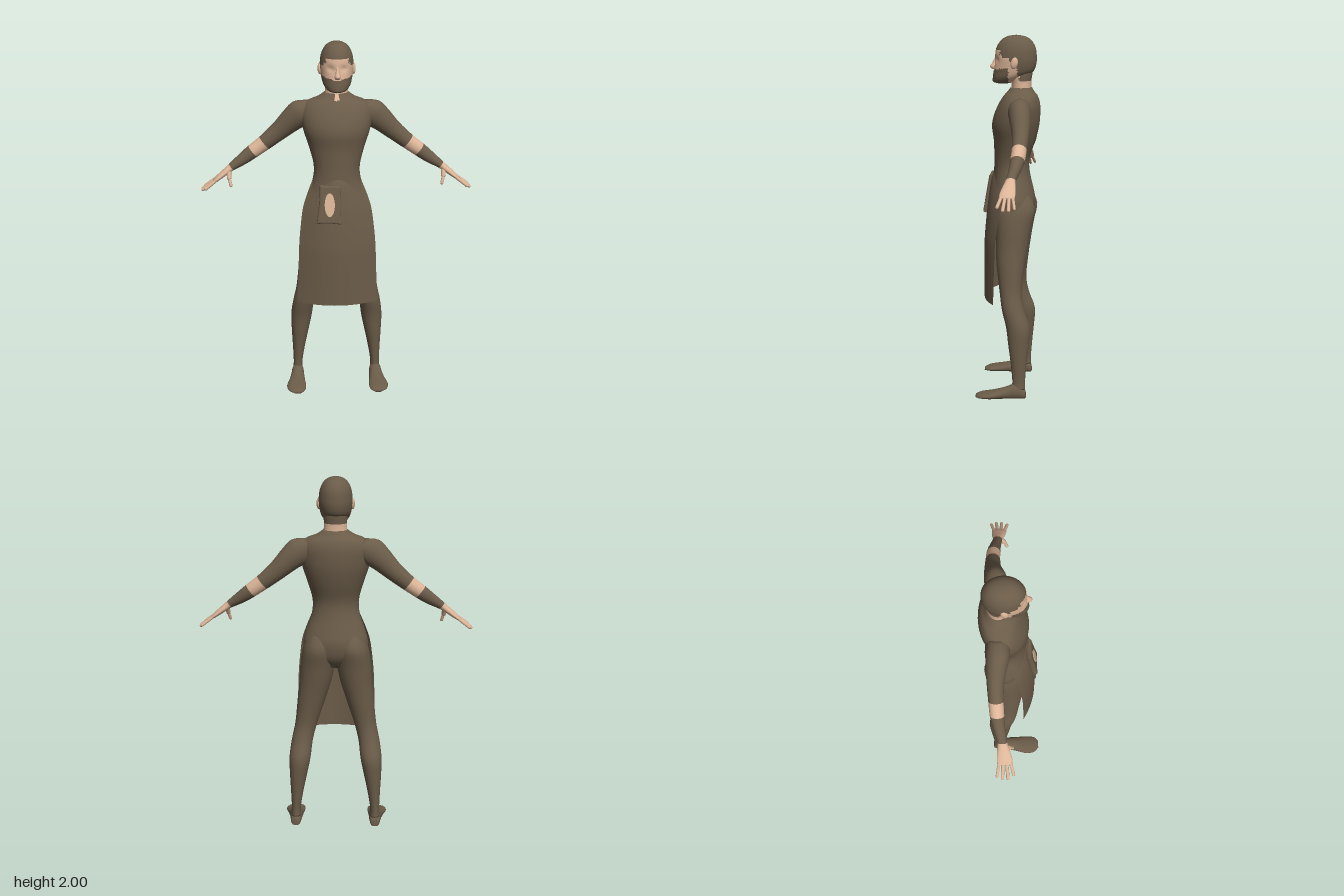
import * as THREE from 'three';

const cloth = new THREE.MeshStandardMaterial({ color: 0x6b5c49 });
cloth.name = 'brown cloth';
const skin = new THREE.MeshStandardMaterial({ color: 0xdcb598 });
skin.name = 'skin';
const apronCloth = new THREE.MeshStandardMaterial({ color: 0x6b5c49, side: THREE.DoubleSide });
apronCloth.name = 'apron cloth';
const PAINT = [cloth, skin];
const X = new THREE.Vector3(1, 0, 0), Y = new THREE.Vector3(0, 1, 0), Z = new THREE.Vector3(0, 0, 1);

// Smooth list of rows through a few control rows
function smoothRows(rows, steps) {
  const out = [];
  const at = i => rows[Math.max(0, Math.min(rows.length - 1, i))];
  for (let i = 0; i < rows.length - 1; i++) {
    for (let s = 0; s < steps; s++) {
      const t = s / steps;
      out.push(rows[i].map((_, k) => {
        const a = at(i - 1)[k], b = at(i)[k], c = at(i + 1)[k], d = at(i + 2)[k];
        return b + 0.5 * t * (c - a + t * (2 * a - 5 * b + 4 * c - d + t * (3 * (b - c) + d - a)));
      }));
    }
  }
  out.push(rows[rows.length - 1]);
  return out;
}

// Closed skin over elliptical rings [x, y, z, radiusU, radiusV]; rings advance along u x v.
// paint(point) gives the material index of a face, warp(point) reshapes a vertex.
function loft(rows, { u = X, v = Z, seg = 24, steps = 4, paint = () => 0, warp = () => {} } = {}) {
  const rings = smoothRows(rows, steps), pts = [], lists = [[], []];
  rings.forEach(([x, y, z, ru, rv]) => {
    for (let j = 0; j < seg; j++) {
      const a = j / seg * Math.PI * 2;
      const p = new THREE.Vector3(x, y, z)
        .addScaledVector(u, Math.max(ru, 0.001) * Math.cos(a))
        .addScaledVector(v, Math.max(rv, 0.001) * Math.sin(a));
      warp(p);
      pts.push(p);
    }
  });
  const n = rings.length, first = pts.length;
  for (const r of [rings[0], rings[n - 1]]) {
    const p = new THREE.Vector3(r[0], r[1], r[2]);
    warp(p);
    pts.push(p);
  }
  const face = (a, b, c) => {
    const mid = pts[a].clone().add(pts[b]).add(pts[c]).divideScalar(3);
    lists[paint(mid)].push(a, b, c);
  };
  for (let j = 0; j < seg; j++) {
    const k = (j + 1) % seg, e = (n - 1) * seg;
    for (let i = 0; i < n - 1; i++) {
      const a = i * seg + j, b = i * seg + k;
      face(a, b, a + seg);
      face(b, b + seg, a + seg);
    }
    face(first, k, j);
    face(first + 1, e + j, e + k);
  }
  const g = new THREE.BufferGeometry().setFromPoints(pts);
  g.setIndex([...lists[0], ...lists[1]]);
  g.addGroup(0, lists[0].length, 0);
  g.addGroup(lists[0].length, lists[1].length, 1);
  g.computeVertexNormals();
  return g;
}

// Mirrored copy across x with corner order restored
function mirrored(geometry) {
  const g = geometry.clone().scale(-1, 1, 1), ix = g.index.array;
  for (let i = 0; i < ix.length; i += 3) [ix[i], ix[i + 1]] = [ix[i + 1], ix[i]];
  return g;
}

// Rounded finger between two points
function finger(a, b, r) {
  const p = new THREE.Vector3(...a), q = new THREE.Vector3(...b), d = q.clone().sub(p);
  const g = new THREE.CapsuleGeometry(r, d.length() - r, 4, 8);
  g.applyQuaternion(new THREE.Quaternion().setFromUnitVectors(Y, d.clone().normalize()));
  const m = p.add(q).multiplyScalar(0.5);
  return g.translate(m.x, m.y, m.z);
}

export function createModel() {
  const model = new THREE.Group();
  const add = (name, geometry, material = PAINT) => {
    const m = new THREE.Mesh(geometry, material);
    m.name = name;
    model.add(m);
    return m;
  };
  const pair = (name, geometry, material) => {
    add('left' + name, geometry, material);
    add('right' + name, mirrored(geometry), material);
  };

  // Torso with a small open slit at the collar
  add('torso', loft([
    [0, 1.715, -0.066, 0.068, 0.058], [0, 1.69, -0.064, 0.105, 0.075], [0, 1.665, -0.062, 0.165, 0.095],
    [0, 1.62, -0.055, 0.193, 0.115], [0, 1.56, -0.043, 0.193, 0.128], [0, 1.5, -0.035, 0.181, 0.13],
    [0, 1.42, -0.03, 0.155, 0.115], [0, 1.32, -0.015, 0.129, 0.098], [0, 1.24, -0.015, 0.133, 0.1],
    [0, 1.15, -0.022, 0.163, 0.113], [0, 1.08, -0.03, 0.18, 0.116], [0, 1.0, -0.03, 0.17, 0.1],
    [0, 0.94, -0.025, 0.09, 0.06],
  ], { seg: 48, paint: p => (Math.abs(p.x) < 0.01 && p.z > -0.03 && p.y > 1.682 ? 1 : 0) }));

  // Neck, with hair at the nape
  add('neck', loft([
    [0, 1.82, -0.06, 0.064, 0.07], [0, 1.78, -0.064, 0.064, 0.062],
    [0, 1.74, -0.067, 0.063, 0.054], [0, 1.67, -0.067, 0.066, 0.056],
  ], { paint: p => (p.y > 1.755 && p.z < -0.06 ? 0 : 1) }));

  // Head with hair and beard; shallow eye sockets
  const headPaint = p => {
    const ax = Math.abs(p.x);
    const hairline = p.z > 0.03 ? (ax > 0.06 ? 1.895 : 1.922) : p.z > -0.01 ? 1.88 : p.z > -0.05 ? 1.86 : 1.755;
    const beard = p.z > 0 && p.y < 1.806 + 0.2 * ax;
    return p.y > hairline || beard ? 0 : 1;
  };
  add('head', loft([
    [0, 2.0, -0.038, 0.004, 0.004], [0, 1.992, -0.038, 0.038, 0.05], [0, 1.97, -0.038, 0.066, 0.084],
    [0, 1.93, -0.037, 0.085, 0.108], [0, 1.88, -0.036, 0.092, 0.115], [0, 1.84, -0.034, 0.09, 0.114],
    [0, 1.8, -0.022, 0.083, 0.109], [0, 1.77, 0.005, 0.072, 0.086], [0, 1.745, 0.03, 0.05, 0.06],
    [0, 1.736, 0.035, 0.02, 0.03],
  ], {
    seg: 48, steps: 5, paint: headPaint,
    warp: p => {
      const dx = (Math.abs(p.x) - 0.036) / 0.02, dy = (p.y - 1.868) / 0.016;
      if (p.z > 0) p.z -= 0.011 * Math.exp(-dx * dx - dy * dy);
    },
  }));
  add('nose', loft([
    [0, 1.882, 0.072, 0.006, 0.006], [0, 1.85, 0.08, 0.01, 0.013],
    [0, 1.827, 0.084, 0.017, 0.023], [0, 1.813, 0.08, 0.012, 0.012],
  ], { seg: 12, paint: () => 1 }));
  pair('Ear', new THREE.SphereGeometry(1, 12, 10).scale(0.012, 0.032, 0.02).rotateX(-0.2).translate(0.092, 1.852, -0.035), skin);

  // Arms: sleeve, bare elbow, cuff and palm in one skin
  const slope = 0.67, c = Math.cos(slope), s = Math.sin(slope);
  const along = (x, y) => x * c - y * s;
  const b0 = along(0.4, 1.425), b1 = along(0.465, 1.378), b2 = along(0.585, 1.295);
  pair('Arm', loft([
    [0.13, 1.63, -0.072, 0.05, 0.05], [0.19, 1.6, -0.072, 0.077, 0.062], [0.25, 1.555, -0.08, 0.067, 0.057],
    [0.32, 1.49, -0.088, 0.053, 0.046], [0.4, 1.425, -0.088, 0.044, 0.04], [0.465, 1.378, -0.084, 0.04, 0.038],
    [0.52, 1.338, -0.075, 0.034, 0.032], [0.585, 1.295, -0.06, 0.022, 0.026], [0.62, 1.268, -0.055, 0.018, 0.034],
    [0.66, 1.237, -0.05, 0.014, 0.041], [0.685, 1.218, -0.05, 0.009, 0.038],
  ], {
    u: new THREE.Vector3(s, c, 0),
    paint: p => { const t = along(p.x, p.y); return (t > b0 && t < b1) || t > b2 ? 1 : 0; },
  }));

  // Fingers and thumb: [base, tip, radius]
  [
    [[0.67, 1.23, -0.078], [0.74, 1.178, -0.093], 0.008],
    [[0.67, 1.23, -0.059], [0.75, 1.17, -0.064], 0.009],
    [[0.67, 1.23, -0.04], [0.75, 1.17, -0.034], 0.009],
    [[0.665, 1.232, -0.022], [0.733, 1.182, -0.003], 0.009],
    [[0.6, 1.275, -0.045], [0.598, 1.235, -0.02], 0.013],
    [[0.598, 1.24, -0.022], [0.588, 1.198, -0.005], 0.009],
  ].forEach(([a, b, r], i) => pair((i < 4 ? 'Finger' : 'Thumb') + (i + 1), finger(a, b, r), skin));

  // Legs
  pair('Leg', loft([
    [0.08, 1.13, -0.03, 0.07, 0.09], [0.092, 1.05, -0.038, 0.09, 0.113], [0.102, 0.95, -0.032, 0.096, 0.1],
    [0.115, 0.85, -0.025, 0.09, 0.09], [0.135, 0.75, -0.02, 0.08, 0.08], [0.167, 0.6, -0.022, 0.063, 0.062],
    [0.19, 0.5, -0.037, 0.06, 0.062], [0.203, 0.4, -0.066, 0.06, 0.066], [0.212, 0.3, -0.07, 0.049, 0.057],
    [0.22, 0.2, -0.072, 0.036, 0.045], [0.226, 0.1, -0.073, 0.026, 0.036], [0.227, 0.05, -0.072, 0.028, 0.038],
  ]));

  // Feet, flat underneath: [x, z, half width, height]
  pair('Foot', loft([
    [0.228, -0.113, 0.012, 0.03], [0.228, -0.103, 0.027, 0.055], [0.228, -0.06, 0.034, 0.085],
    [0.23, -0.02, 0.038, 0.068], [0.233, 0.03, 0.045, 0.05], [0.238, 0.09, 0.055, 0.035],
    [0.236, 0.14, 0.048, 0.025], [0.232, 0.167, 0.022, 0.014],
  ].map(([x, z, w, h]) => [x, h * 0.42, z, w, h * 0.58]), { v: Y, warp: p => { p.y = Math.max(0, p.y); } }));

  // Apron: curved open sheet, rows of [y, half width, middle z, edge z]
  const rows = smoothRows([
    [1.26, 0.126, 0.082, -0.02], [1.22, 0.14, 0.096, 0.0], [1.15, 0.168, 0.108, 0.012], [1.08, 0.19, 0.118, 0.027],
    [1.0, 0.202, 0.127, 0.042], [0.9, 0.212, 0.136, 0.056], [0.8, 0.217, 0.14, 0.063], [0.53, 0.225, 0.139, 0.07],
  ], 4);
  const apron = new THREE.PlaneGeometry(2, 1, 24, rows.length - 1), pos = apron.attributes.position;
  for (let i = 0; i < pos.count; i++) {
    const [y, w, zf, ze] = rows[Math.floor(i / 25)], t = pos.getX(i);
    pos.setXYZ(i, w * t, y, ze + (zf - ze) * (1 - t * t));
  }
  apron.computeVertexNormals();
  add('apron', apron, apronCloth);

  // Belt pouch with an oval patch
  const pouch = new THREE.Group();
  pouch.name = 'pouch';
  const outline = new THREE.Shape();
  outline.moveTo(-0.042, 0.1);
  outline.quadraticCurveTo(0.005, 0.092, 0.056, 0.095);
  outline.quadraticCurveTo(0.048, 0, 0.056, -0.1);
  outline.quadraticCurveTo(-0.005, -0.088, -0.06, -0.095);
  outline.quadraticCurveTo(-0.042, 0, -0.042, 0.1);
  const bag = new THREE.Mesh(new THREE.ExtrudeGeometry(outline, {
    depth: 0.012, bevelEnabled: true, bevelThickness: 0.009, bevelSize: 0.01, bevelSegments: 3, curveSegments: 8,
  }), cloth);
  bag.name = 'pouchBag';
  const patch = new THREE.Mesh(new THREE.CylinderGeometry(1, 1, 0.004, 32).rotateX(Math.PI / 2).scale(0.028, 0.066, 1), skin);
  patch.name = 'pouchPatch';
  patch.position.set(0.002, 0, 0.022);
  pouch.add(bag, patch);
  pouch.position.set(-0.047, 1.12, 0.108);
  pouch.rotation.x = -0.17;
  model.add(pouch);

  return model;
}
